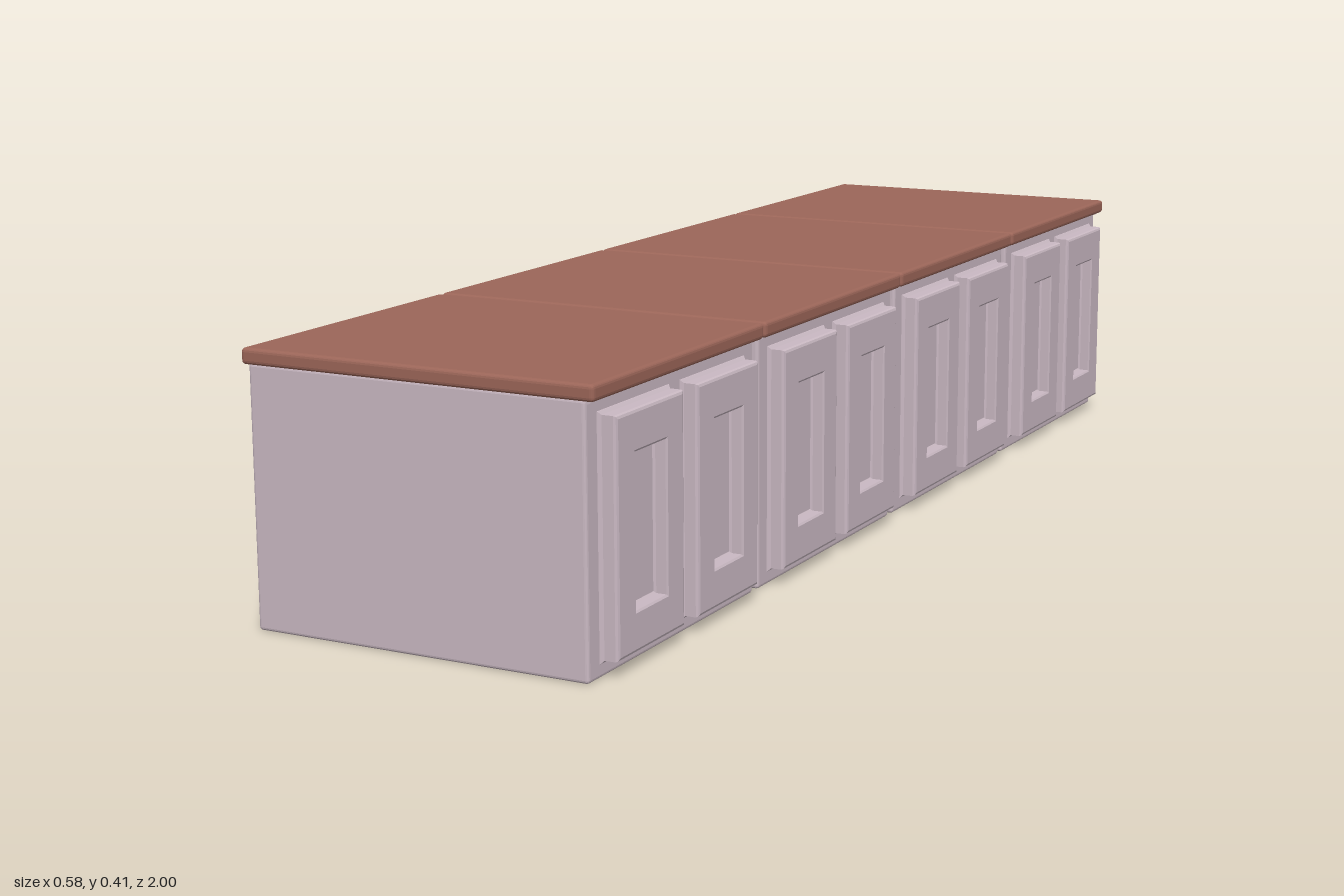
import * as THREE from 'three';
import { RoundedBoxGeometry } from 'three/addons/geometries/RoundedBoxGeometry.js';

const paint = new THREE.MeshStandardMaterial({ color: 0xcab9c3, flatShading: true });
const wood = new THREE.MeshStandardMaterial({ color: 0x9c6659, flatShading: true });

// Box with softened edges, given by its extents in x and y and its depth in z
function softBox(name, x0, x1, y0, y1, depth, radius, material) {
  const geometry = new RoundedBoxGeometry(x1 - x0, y1 - y0, depth, 2, radius);
  const mesh = new THREE.Mesh(geometry, material);
  mesh.name = name;
  mesh.position.set((x0 + x1) / 2, (y0 + y1) / 2, 0);
  return mesh;
}

// Rectangular rings [x, half width, half height] joined in order, last one capped
function loftRings(rings) {
  const positions = [];
  const index = [];
  for (const [x, w, h] of rings) {
    positions.push(x, h, w, x, -h, w, x, -h, -w, x, h, -w);
  }
  for (let r = 0; r < rings.length - 1; r++) {
    for (let i = 0; i < 4; i++) {
      const a = r * 4 + i;
      const b = r * 4 + ((i + 1) % 4);
      index.push(a, b, b + 4, a, b + 4, a + 4);
    }
  }
  const c = (rings.length - 1) * 4;
  index.push(c, c + 1, c + 2, c, c + 2, c + 3);
  const indexed = new THREE.BufferGeometry();
  indexed.setAttribute('position', new THREE.Float32BufferAttribute(positions, 3));
  indexed.setIndex(index);
  const geometry = indexed.toNonIndexed();
  geometry.computeVertexNormals();
  return geometry;
}

export function createModel() {
  const model = new THREE.Group();
  model.name = 'cabinetRow';

  // Door: flared foot, straight sides, softened rim, sunken panel
  const doorGeometry = loftRings([
    [0.259, 0.099, 0.174],
    [0.262, 0.098, 0.173],
    [0.266, 0.094, 0.1685],
    [0.283, 0.094, 0.1685],
    [0.2865, 0.0925, 0.167],
    [0.288, 0.089, 0.1635],
    [0.288, 0.046, 0.113],
    [0.286, 0.043, 0.11],
    [0.27, 0.043, 0.11],
    [0.267, 0.04, 0.107],
  ]);

  // Lip where the carcass front meets the worktop
  const lipGeometry = loftRings([
    [0.255, 0.238, 0.001],
    [0.262, 0.238, 0.003],
    [0.267, 0.238, 0.001],
  ]);

  [-0.752, -0.2505, 0.2505, 0.752].forEach((z) => {
    const unit = new THREE.Group();
    unit.name = 'cabinetUnit';
    unit.position.z = z;

    unit.add(softBox('carcass', -0.282, 0.261, 0, 0.388, 0.484, 0.005, paint));
    unit.add(softBox('worktop', -0.29, 0.277, 0.386, 0.41, 0.496, 0.006, wood));

    const lip = new THREE.Mesh(lipGeometry, paint);
    lip.name = 'topLip';
    lip.position.y = 0.384;
    unit.add(lip);

    for (const side of [-1, 1]) {
      const door = new THREE.Mesh(doorGeometry, paint);
      door.name = side < 0 ? 'rearDoor' : 'frontDoor';
      door.position.set(0, 0.1935, side * 0.114);
      unit.add(door);
    }
    model.add(unit);
  });

  return model;
}
